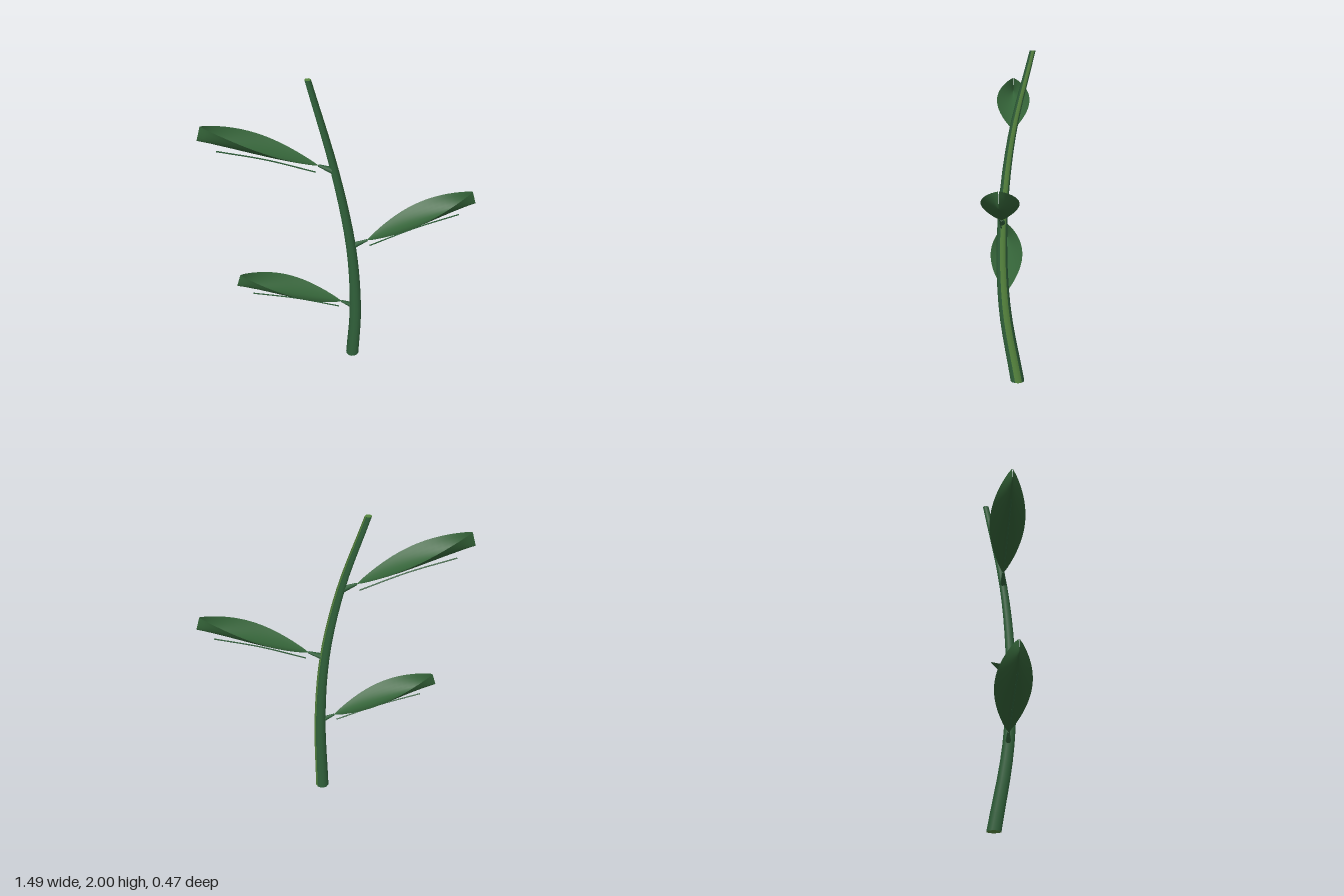
import * as THREE from 'three';

const flat = (name, color, side = THREE.FrontSide) => {
  const m = new THREE.MeshStandardMaterial({ color, side });
  m.name = name;
  return m;
};

// Centre line of the stem, evenly spaced in height
const stemLine = new THREE.CatmullRomCurve3([
  [0.045, 0, -0.085], [0.075, 0.5, -0.01], [0.047, 1, 0.012], [-0.052, 1.5, -0.01], [-0.21, 2, -0.085],
].map(p => new THREE.Vector3(...p)), false, 'catmullrom', 0.5);

// Tapered cylinder sector bent along the stem line
function stemPart(name, material, start, length, sides, open) {
  const geo = new THREE.CylinderGeometry(0.018, 0.043, 2, sides, 20, open, start, length);
  const pos = geo.attributes.position;
  for (let i = 0; i < pos.count; i++) {
    const t = THREE.MathUtils.clamp((pos.getY(i) + 1) / 2, 0, 1);
    const c = stemLine.getPoint(t);
    pos.setXYZ(i, pos.getX(i) + c.x, t * 2, pos.getZ(i) + c.z);
  }
  const mesh = new THREE.Mesh(geo, material);
  mesh.name = name;
  return mesh;
}

// Cupped blade: a lens outline whose margins rise more and more towards the tip
function bladeGeometry(length) {
  const geo = new THREE.PlaneGeometry(2, 1, 12, 20);
  const pos = geo.attributes.position;
  for (let i = 0; i < pos.count; i++) {
    const s = pos.getX(i), t = pos.getY(i) + 0.5;
    const width = 0.002 + 0.102 * Math.pow(Math.max(Math.sin(Math.PI * t), 0), 0.85);
    const rise = 0.086 * Math.sin(Math.PI / 2 * t);
    pos.setXYZ(i, s * width, rise * Math.pow(Math.abs(s), 1.7), t * length);
  }
  geo.computeVertexNormals();
  return geo;
}

export function createModel() {
  const group = new THREE.Group();
  group.name = 'leafyTwig';
  const stemGreen = flat('stem green', 0x30603a);
  const lightGreen = flat('light green', 0x57873f);
  const leafGreen = flat('leaf green', 0x346338, THREE.DoubleSide);

  // Stem with a paler streak along one side and pale cut ends
  const rad = THREE.MathUtils.degToRad;
  group.add(stemPart('stem', [stemGreen, lightGreen, lightGreen], rad(150), rad(300), 10, false));
  group.add(stemPart('stemStreak', [lightGreen, lightGreen, lightGreen], rad(90), rad(60), 2, false));

  // Leaves: base point of each blade, side it grows to, height on the stem
  const leaves = [
    { base: [-0.012, 0.55, 0.012], side: -1, y: 0.5 },
    { base: [0.14, 1.04, -0.015], side: 1, y: 1.0 },
    { base: [-0.14, 1.54, 0.012], side: -1, y: 1.5 },
  ];
  for (const { base, side, y } of leaves) {
    const leaf = new THREE.Group();
    leaf.name = 'leaf';
    const b = new THREE.Vector3(...base);
    const reach = new THREE.Vector3(side * 0.607, 0.205, -side * 0.21);

    const blade = new THREE.Mesh(bladeGeometry(reach.length()), leafGreen);
    blade.name = 'blade';
    blade.position.copy(b);
    blade.lookAt(b.clone().add(reach));
    leaf.add(blade);

    // Short tapered stalk between stem and blade
    const from = stemLine.getPoint(y / 2);
    const along = b.clone().sub(from);
    const stalk = new THREE.Mesh(new THREE.CylinderGeometry(0.007, 0.022, along.length(), 8), stemGreen);
    stalk.name = 'stalk';
    stalk.position.copy(from).addScaledVector(along, 0.5);
    stalk.quaternion.setFromUnitVectors(new THREE.Vector3(0, 1, 0), along.normalize());
    leaf.add(stalk);

    // Thin rib hanging just under the blade
    const ribPoint = (t, drop) => b.clone().addScaledVector(reach, t).add(new THREE.Vector3(0, -drop, 0));
    const ribLine = new THREE.CatmullRomCurve3([ribPoint(0.025, 0.047), ribPoint(0.44, 0.032), ribPoint(0.855, 0.042)]);
    const rib = new THREE.Mesh(new THREE.TubeGeometry(ribLine, 12, 0.004, 5), stemGreen);
    rib.name = 'rib';
    leaf.add(rib);
    group.add(leaf);
  }
  return group;
}
